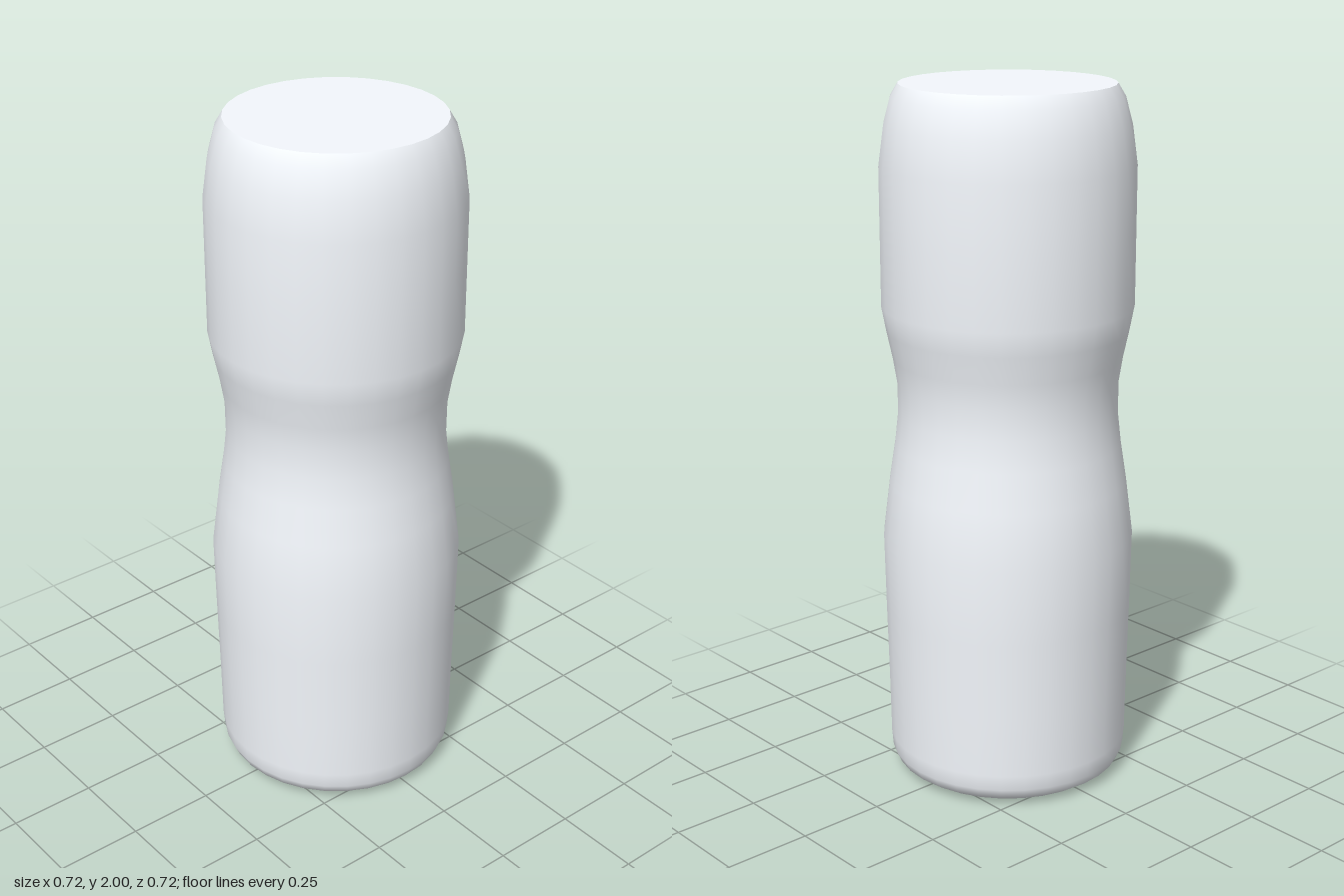
import * as THREE from 'three';

const SIDES = 32;

export function createModel() {
  const group = new THREE.Group();
  const material = new THREE.MeshStandardMaterial({ color: 0xf4f8fd });

  // Waisted body with a rounded foot and softened shoulder, [radius, height]
  const profile = [
    [0, 0], [0.27, 0.002], [0.305, 0.01], [0.33, 0.027], [0.343, 0.055], [0.347, 0.1],
    [0.35, 0.28], [0.355, 0.5], [0.359, 0.72], [0.339, 0.88],
    [0.322, 0.99], [0.312, 1.08], [0.313, 1.17], [0.324, 1.24], [0.341, 1.32],
    [0.354, 1.39], [0.354, 1.6], [0.354, 1.78], [0.339, 1.89],
    [0.319, 1.965], [0.298, 2],
  ].map(([r, y]) => new THREE.Vector2(r, y));
  const body = new THREE.Mesh(new THREE.LatheGeometry(profile, SIDES), material);
  body.name = 'body';
  group.add(body);

  // Flat top with a crisp rim
  const top = new THREE.Mesh(new THREE.CircleGeometry(0.298, SIDES), material);
  top.name = 'topCap';
  top.rotation.x = -Math.PI / 2;
  top.position.y = 2;
  group.add(top);

  return group;
}
